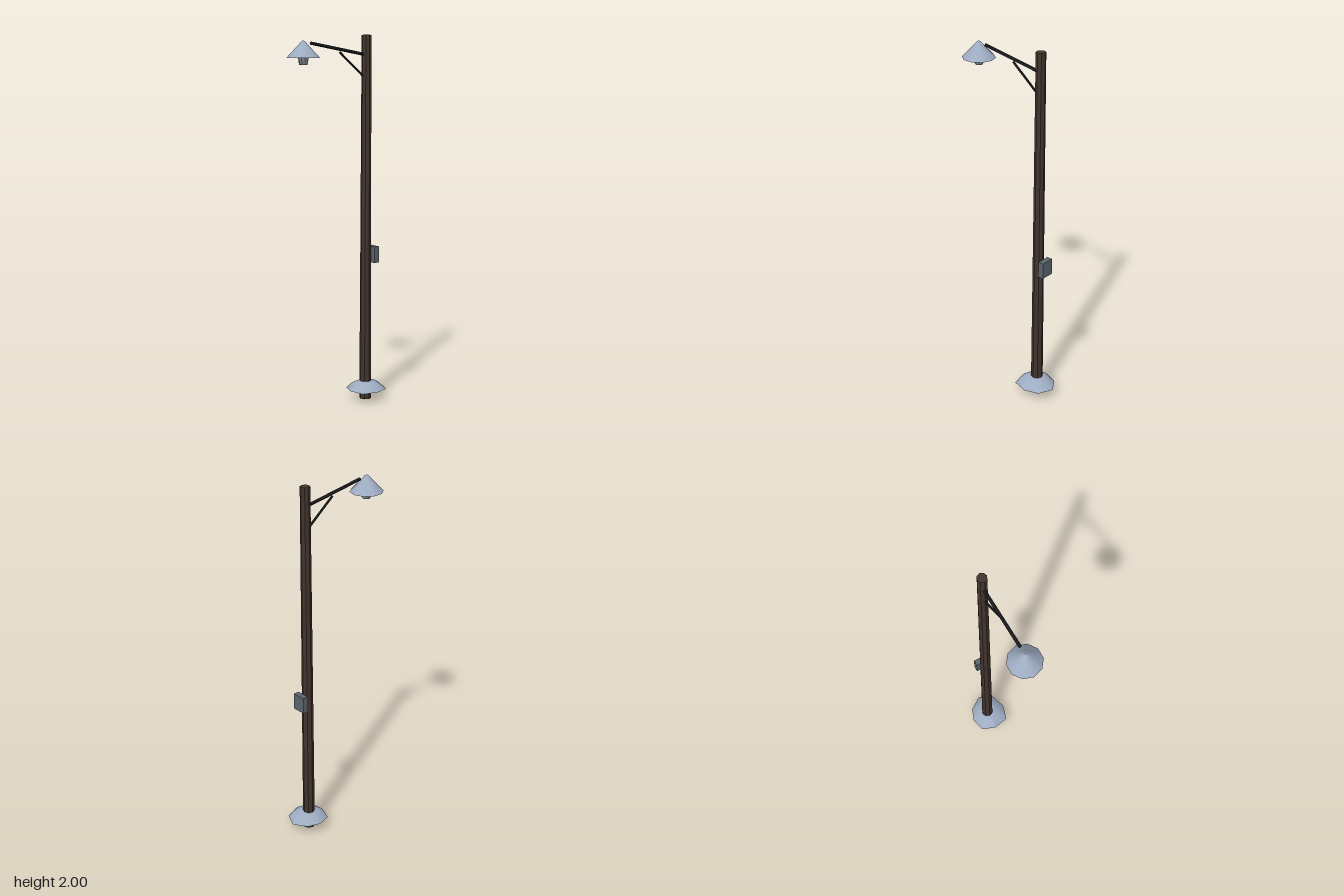
import * as THREE from 'three';

const X = -0.008;      // shared centre line
const POLE_Z = -0.194;
const LAMP_Z = 0.22;

function mat(color, flatShading = false, side = THREE.FrontSide) {
  return new THREE.MeshStandardMaterial({ color, flatShading, side });
}

function add(group, name, geometry, material, x = 0, y = 0, z = 0) {
  const mesh = new THREE.Mesh(geometry, material);
  mesh.name = name;
  mesh.position.set(x, y, z);
  group.add(mesh);
  return mesh;
}

// Straight rod between two points in the plane of the centre line
function rod(group, name, y1, z1, y2, z2, radius, material) {
  const a = new THREE.Vector3(X, y1, z1), b = new THREE.Vector3(X, y2, z2);
  const mesh = add(group, name, new THREE.CylinderGeometry(radius, radius, a.distanceTo(b), 8), material);
  mesh.position.copy(a).add(b).multiplyScalar(0.5);
  mesh.quaternion.setFromUnitVectors(new THREE.Vector3(0, 1, 0), b.sub(a).normalize());
}

function lathe(points, sides) {
  return new THREE.LatheGeometry(points.map(([r, y]) => new THREE.Vector2(r, y)), sides);
}

// Slightly uneven rim: scales each spoke of a lathe by its own factor
function unevenRim(geometry, factors) {
  const p = geometry.attributes.position, n = factors.length;
  const rows = p.count / (n + 1);
  for (let i = 0; i < p.count; i++) {
    const f = factors[Math.floor(i / rows) % n];
    p.setXYZ(i, p.getX(i) * f, p.getY(i), p.getZ(i) * f);
  }
  geometry.computeVertexNormals();
  return geometry;
}

export function createModel() {
  const group = new THREE.Group();
  const wood = mat(0x42352d, true);
  const iron = mat(0x26282b, true);
  const enamel = mat(0x9eacc2, false, THREE.DoubleSide);

  // Tapered pole
  add(group, 'pole', new THREE.CylinderGeometry(0.026, 0.033, 2, 8).rotateY(Math.PI / 8 * 2), wood, X, 1, POLE_Z);

  // Shallow mound around the foot, open underneath
  const mound = unevenRim(
    lathe([[0.108, 0.055], [0.09, 0.073], [0.066, 0.09], [0.04, 0.1], [0.0, 0.103]], 8),
    [0.96, 1.13, 1.01, 1.07, 1.08, 0.91, 0.88, 0.99]);
  add(group, 'footMound', mound, enamel, X, 0, POLE_Z);

  // Junction box on the back of the pole
  add(group, 'junctionBox', new THREE.BoxGeometry(0.075, 0.09, 0.032), mat(0x5b666d, true), -0.009, 0.81, -0.241);

  // Arm and its diagonal brace
  rod(group, 'arm', 1.895, -0.19, 1.954, 0.173, 0.0085, iron);
  rod(group, 'brace', 1.775, -0.18, 1.908, -0.015, 0.006, iron);

  // Lamp shade, dark lining and bulb
  const lamp = new THREE.Group();
  lamp.name = 'lamp';
  lamp.position.set(X, 0, LAMP_Z);
  group.add(lamp);
  add(lamp, 'shade', lathe([[0.088, 1.878], [0.06, 1.908], [0.03, 1.94], [0.012, 1.96], [0, 1.968]], 10), enamel);
  add(lamp, 'shadeLining', lathe([[0.086, 1.878], [0.058, 1.906], [0.028, 1.937], [0, 1.955]], 10),
    mat(0x1c1d1f, false, THREE.DoubleSide));
  add(lamp, 'bulb', lathe([[0, 1.842], [0.021, 1.842], [0.025, 1.86], [0.027, 1.885], [0.018, 1.91], [0, 1.918]], 10),
    mat(0x7d8288, true));
  return group;
}
